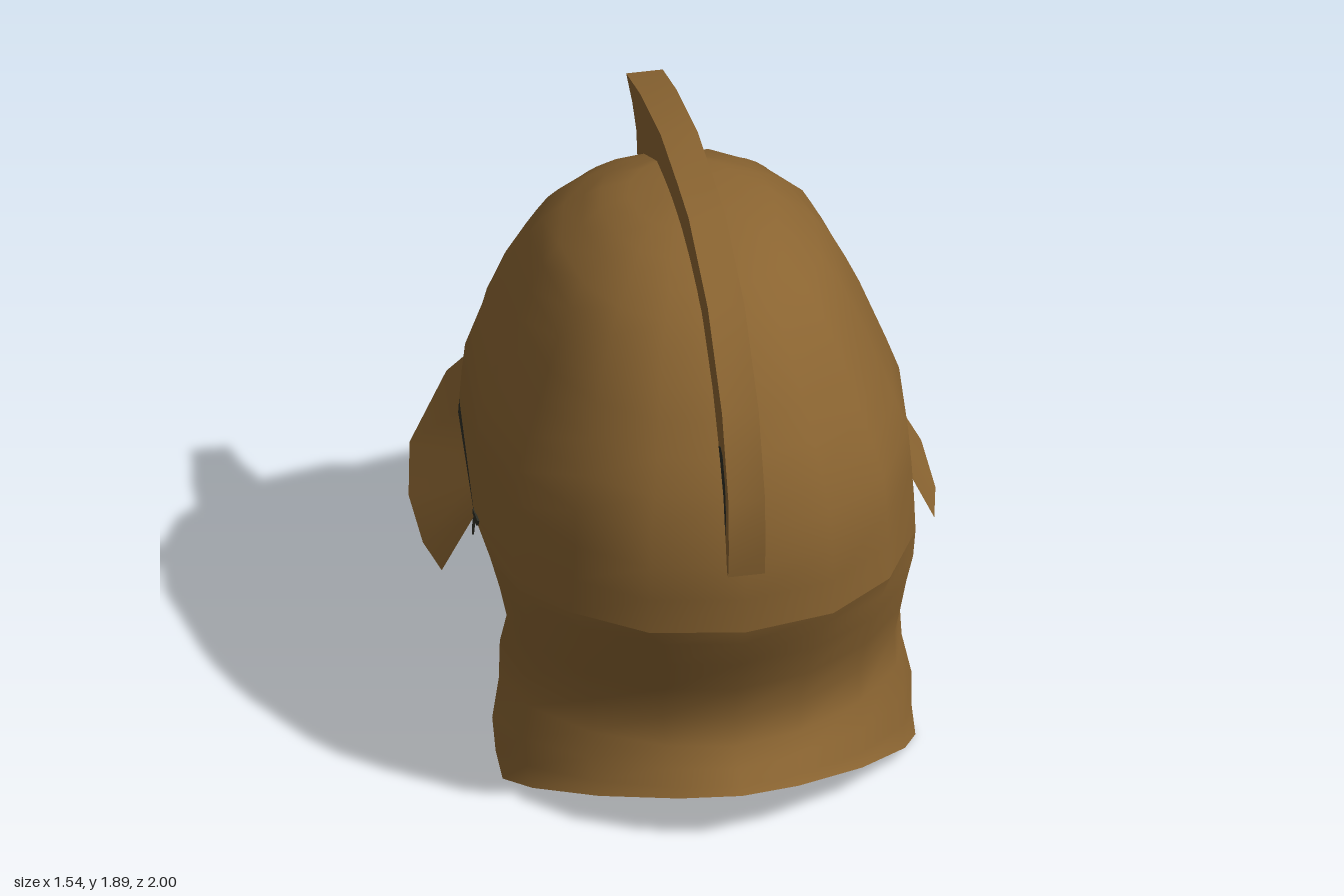
import * as THREE from 'three';
import { toCreasedNormals } from 'three/addons/utils/BufferGeometryUtils.js';

const bronze = new THREE.MeshStandardMaterial({ color: 0x8a6431, side: THREE.DoubleSide });
bronze.name = 'bronze';
const dark = new THREE.MeshStandardMaterial({ color: 0x2e2e25, side: THREE.DoubleSide });
dark.name = 'dark lining';

const COLS = 16;
const STEP = Math.PI * 2 / COLS;

// Linear interpolation in a list of [key, value] pairs
function at(table, k) {
  if (k <= table[0][0]) return table[0][1];
  for (let i = 1; i < table.length; i++) {
    const [k0, v0] = table[i - 1], [k1, v1] = table[i];
    if (k <= k1) return v0 + (v1 - v0) * (k - k0) / (k1 - k0);
  }
  return table[table.length - 1][1];
}

const spow = (v, p) => Math.sign(v) * Math.abs(v) ** p;

// Surface through rows of points; closed surfaces join the last column to the first
function grid(rows, cols, closed, point) {
  const pos = [], idx = [], n = closed ? cols : cols + 1;
  for (let r = 0; r <= rows; r++)
    for (let c = 0; c < n; c++) pos.push(...point(r, c));
  for (let r = 0; r < rows; r++)
    for (let c = 0; c < cols; c++) {
      const a = r * n + c, b = r * n + (c + 1) % n;
      idx.push(a, b, b + n, a, b + n, a + n);
    }
  const g = new THREE.BufferGeometry();
  g.setAttribute('position', new THREE.Float32BufferAttribute(pos, 3));
  g.setIndex(idx);
  g.computeVertexNormals();
  return g;
}

// Dome outline by height: half width, +z reach and -z reach
const TOP = 1.78;
const width = [[0.75, 0.65], [0.8, 0.65], [1.1, 0.63], [1.43, 0.5], [1.6, 0.41], [1.73, 0.25], [1.765, 0.14], [TOP, 0]];
const reachBack = [[0.75, 0.97], [0.97, 0.985], [1.22, 0.93], [1.47, 0.78], [1.65, 0.61], [1.72, 0.45], [1.77, 0.27], [TOP, 0.1]];
const reachFront = [[0.75, -0.79], [0.93, -0.79], [1, -0.775], [1.25, -0.67], [1.53, -0.45], [1.67, -0.27], [1.77, -0.06], [TOP, 0.1]];
// Upper edge of the dark band, by columns away from -z
const bandTop = [1.36, 1.27, 1.1, 0.88, 0.75];

// Angle 0 is +z, a quarter turn is +x
function domePoint(a, y) {
  const t = (y - 0.75) / (TOP - 0.75), zc = 0.17 - 0.07 * t;
  const c = Math.cos(a), n = c > -1e-6 ? 2.25 : 2.5 - 0.25 * t;
  const reach = c > 0 ? at(reachBack, y) - zc : zc - at(reachFront, y);
  return [at(width, y) * spow(Math.sin(a), 2 / n), y, zc + reach * spow(c, 2 / n)];
}
const domeBase = a => 0.75 + 0.18 * Math.max(0, -Math.cos(a)) ** 0.8;

function makeDome() {
  const bandRows = 4, upperRows = 14;
  const g = grid(bandRows + upperRows, COLS, true, (r, c) => {
    const a = c * STEP, base = domeBase(a);
    const mid = Math.max(base, bandTop[Math.min(4, Math.abs(c - COLS / 2))]);
    if (r <= bandRows) return domePoint(a, base + (mid - base) * r / bandRows);
    const t = Math.sin((r - bandRows) / upperRows * Math.PI / 2);
    return domePoint(a, mid + (TOP - mid) * t);
  });
  g.addGroup(0, bandRows * COLS * 6, 0);
  g.addGroup(bandRows * COLS * 6, upperRows * COLS * 6, 1);
  return new THREE.Mesh(g, [dark, bronze]);
}

// Neck guard rows, bottom up: [y at centre, z at centre, y at side edge, z at side edge, half width, roundness]
const neckRows = [
  [0.16, 0.93, 0, 0.44, 0.62, 1.55], [0.18, 0.91, 0.05, 0.36, 0.625, 1.6], [0.22, 0.875, 0.15, 0.335, 0.63, 1.65],
  [0.27, 0.83, 0.27, 0.31, 0.605, 1.75], [0.36, 0.81, 0.39, 0.3, 0.6, 1.8], [0.48, 0.85, 0.54, 0.4, 0.6, 1.85],
  [0.6, 0.905, 0.62, 0.37, 0.615, 1.92], [0.7, 0.955, 0.7, 0.33, 0.635, 2], [0.75, 0.97, 0.75, 0.17, 0.65, 2.25],
];
function makeNeckGuard() {
  return new THREE.Mesh(grid(neckRows.length - 1, COLS / 2, false, (r, col) => {
    const [yc, zc, ye, ze, w, n] = neckRows[r];
    const a = (col - COLS / 4) * STEP;
    const f = Math.max(0, Math.cos(a)) ** (2 / n);
    return [w * spow(Math.sin(a), 2 / n), ye + (yc - ye) * f, ze + (zc - ze) * f];
  }), bronze);
}

// Brim outer edge from its middle to one end: [x, z, dome column away from -z]
const brimEdge = [
  [0, -1, 0], [0.29, -0.94, 1], [0.55, -0.73, 2], [0.72, -0.44, 3],
  [0.77, -0.21, 3.35], [0.77, 0, 3.7], [0.74, 0.13, 4],
];
function makeBrim() {
  const half = brimEdge.length - 1;
  return new THREE.Mesh(grid(1, half * 2, false, (r, c) => {
    const side = c < half ? 1 : -1;
    const [x, z, k] = brimEdge[Math.abs(c - half)];
    if (r === 0) return [side * x, 0.57 - 0.17 * z, z];
    // Inner edge stays on the straight run between dome columns
    const [p, q] = [Math.floor(k), Math.ceil(k)].map(i => {
      const a = Math.PI - side * i * STEP;
      return new THREE.Vector3(...domePoint(a, domeBase(a)));
    });
    return p.lerp(q, k % 1).toArray();
  }), bronze);
}

// Flat part drawn in (z, y) and extruded along x about a given centre
function plate(points, thickness, x, material) {
  const shape = new THREE.Shape(points.map(p => new THREE.Vector2(...p)));
  const g = new THREE.ExtrudeGeometry(shape, { depth: thickness, bevelEnabled: false });
  g.rotateY(-Math.PI / 2).translate(x + thickness / 2, 0, 0);
  return new THREE.Mesh(toCreasedNormals(g, 0.7), material);
}

export function createModel() {
  const model = new THREE.Group();
  model.name = 'helmet';
  const add = (mesh, name) => { mesh.name = name; model.add(mesh); };

  add(makeDome(), 'dome');
  add(makeNeckGuard(), 'neckGuard');
  add(makeBrim(), 'brim');

  // Crest ridge with a pointed tail
  add(plate([
    [0.99, 0.96], [1, 1.05], [0.995, 1.22], [0.9, 1.47], [0.69, 1.71], [0.41, 1.85], [0.25, 1.87],
    [0, 1.89], [-0.3, 1.85], [-0.51, 1.795], [-0.42, 1.75], [-0.36, 1.69], [-0.345, 1.605],
    [-0.26, 1.67], [-0.06, 1.762], [0.1, 1.77], [0.27, 1.762], [0.45, 1.71], [0.6, 1.643],
    [0.77, 1.464], [0.917, 1.22], [0.972, 0.97],
  ], 0.11, 0, bronze), 'crest');

  for (const side of [1, -1]) {
    // Dark slit beside the crest and dark corner at the brim end
    add(plate([[0.95, 1.08], [0.96, 1.15], [0.945, 1.25], [0.91, 1.33], [0.88, 1.345], [0.85, 1.33],
      [0.885, 1.22], [0.92, 1.1]], 0.002, side * 0.0545, dark), 'crestSlit');
    add(plate([[0.225, 0.765], [0.155, 0.765], [0.145, 0.67], [0.17, 0.735], [0.21, 0.74]],
      0.006, side * 0.649, dark), 'brimCorner');
  }
  return model;
}
